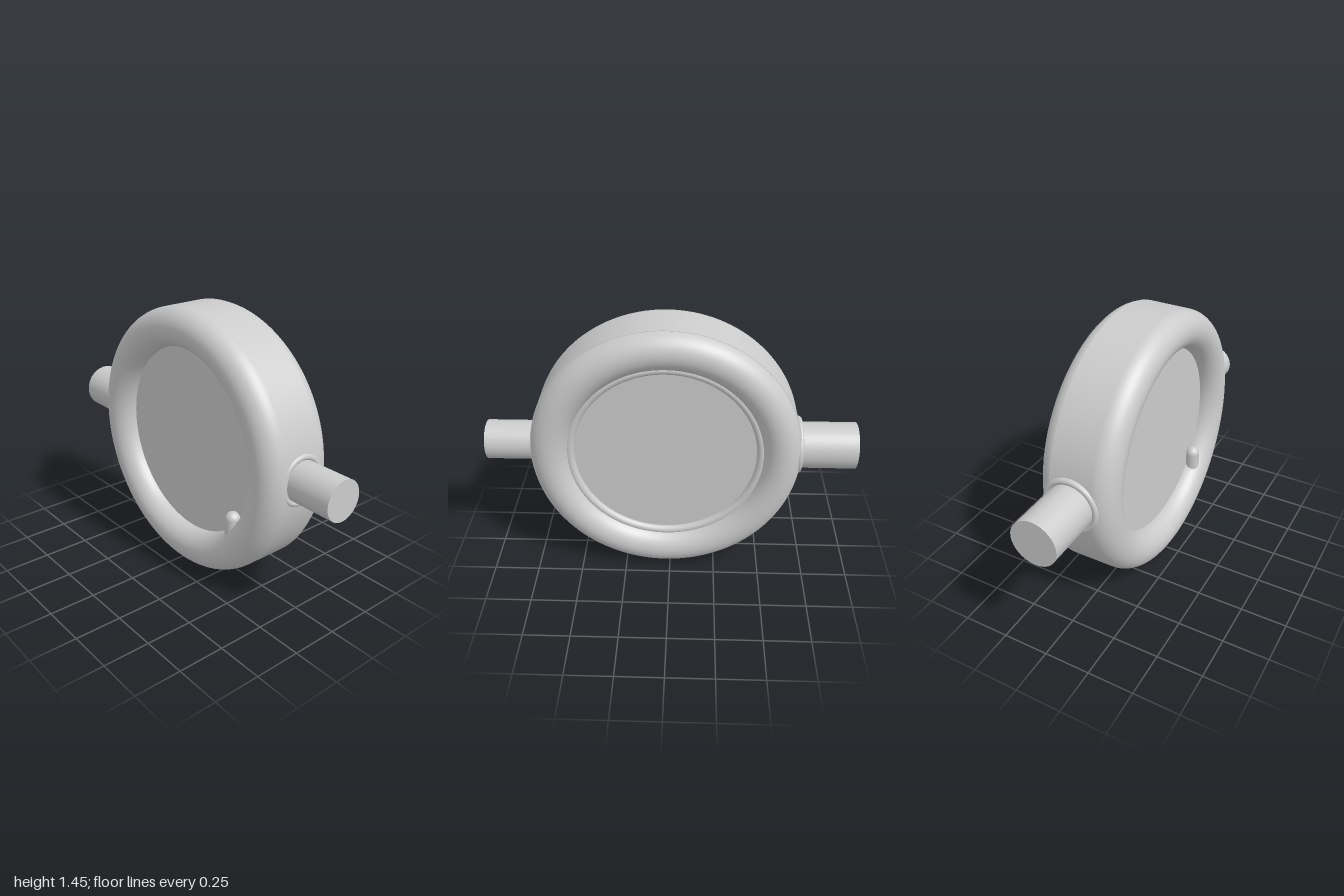
import * as THREE from 'three';

const CX = 0.025, CY = 0.723, R = 0.723, TUBE = 0.105;

export function createModel() {
  const model = new THREE.Group();
  const material = new THREE.MeshStandardMaterial({ color: 0xcccccc });

  function add(name, geometry, x, y, z) {
    const mesh = new THREE.Mesh(geometry, material);
    mesh.name = name;
    mesh.position.set(x, y, z);
    model.add(mesh);
    return mesh;
  }

  // Drum: its end caps form the front dial and the back plate
  const front = 0.107, back = -0.125;
  add('drum', new THREE.CylinderGeometry(R, R, front - back, 128), CX, CY, (front + back) / 2)
    .rotation.x = Math.PI / 2;

  // Rounded rims at both ends
  for (const side of [1, -1]) {
    add(side > 0 ? 'frontRim' : 'backRim',
      new THREE.TorusGeometry(R - TUBE, TUBE, 48, 128), CX, CY, side * 0.106);
  }

  // Thin bead around the back plate
  add('backBead', new THREE.TorusGeometry(0.512, 0.025, 20, 128), CX, CY, back);

  // Side pipes with a small collar where each enters the drum
  const pipes = [
    { name: 'left', side: 1, radius: 0.107, z: -0.003, collarX: 0.73, collarR: 0.12 },
    { name: 'right', side: -1, radius: 0.126, z: -0.008, collarX: -0.688, collarR: 0.14 },
  ];
  for (const p of pipes) {
    const length = 0.45;
    add(p.name + 'Pipe', new THREE.CylinderGeometry(p.radius, p.radius, length, 64),
      p.side * (1 - length / 2), CY + 0.003, p.z).rotation.z = Math.PI / 2;
    add(p.name + 'Collar', new THREE.TorusGeometry(p.collarR, 0.017, 20, 64),
      p.collarX, CY + 0.003, p.z).rotation.y = Math.PI / 2;
  }

  // Small round-ended peg resting on the front rim
  add('peg', new THREE.CapsuleGeometry(0.04, 0.11, 12, 32), 0.404, 0.365, 0.135);

  return model;
}
